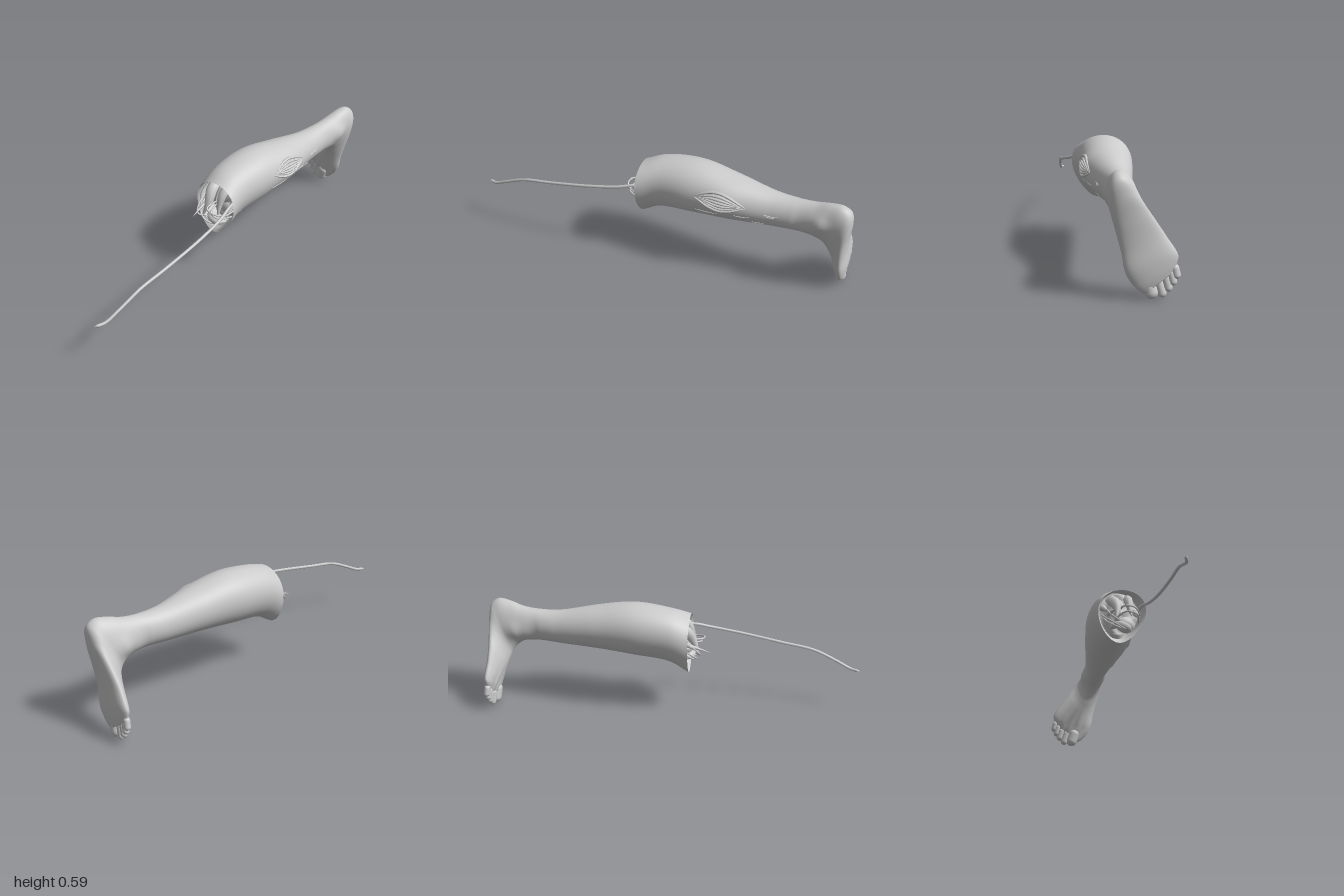
import * as THREE from 'three';

const V = (x, y, z) => new THREE.Vector3(x, y, z);
const mat = new THREE.MeshStandardMaterial({ color: 0xcccccc, roughness: 0.8, side: THREE.DoubleSide });

// Cross-sections from the cut knee to the toes:
// calf/heel/sole point, shin/instep point, [half width, roll, egg shape]
const sections = [
  [[0.055, 0.535, 0.1], [0.022, 0.228, 0.1], [0.124, 0, 0.22]],
  [[0.03, 0.57, 0], [0.026, 0.283, 0], [0.123, 0, 0.15]],
  [[0.03, 0.593, -0.2], [0.034, 0.31, -0.2], [0.133, 0, 0.08]],
  [[0.04, 0.562, -0.4], [0.044, 0.328, -0.4], [0.116, 0, 0.05]],
  [[0.042, 0.523, -0.6], [0.044, 0.34, -0.6], [0.08, 0, 0]],
  [[0.047, 0.519, -0.71], [0.048, 0.346, -0.7], [0.069, 0, 0]],
  [[0.055, 0.53, -0.81], [0.046, 0.345, -0.77], [0.066, 0, -0.1]],
  [[0.07, 0.55, -0.88], [0.04, 0.335, -0.81], [0.066, -0.08, -0.1]],
  [[0.082, 0.557, -0.945], [0.03, 0.315, -0.84], [0.066, -0.18, 0]],
  [[0.083, 0.53, -0.985], [0.018, 0.285, -0.865], [0.068, -0.28, 0.1]],
  [[0.06, 0.46, -0.995], [0, 0.25, -0.88], [0.075, -0.33, 0.15]],
  [[0.022, 0.37, -0.988], [-0.025, 0.21, -0.895], [0.088, -0.36, 0.18]],
  [[-0.022, 0.265, -0.984], [-0.05, 0.165, -0.912], [0.102, -0.38, 0.2]],
  [[-0.06, 0.165, -0.992], [-0.07, 0.125, -0.927], [0.112, -0.42, 0.15]],
  [[-0.079, 0.105, -0.99], [-0.085, 0.095, -0.938], [0.1, -0.55, 0.1]],
  [[-0.09, 0.075, -0.984], [-0.093, 0.072, -0.948], [0.082, -0.62, 0]]
];
const last = sections.length - 1;
const [back, front, shape] = [0, 1, 2].map(k => new THREE.CatmullRomCurve3(sections.map(s => V(...s[k]))));

// Ankle bones, calf swelling, kneecap edge, ball of the foot: x, y, z, radius, height
const bumps = [
  [0.12, 0.45, -0.84, 0.045, 0.014], [-0.025, 0.41, -0.85, 0.045, 0.014],
  [0.16, 0.47, -0.36, 0.07, 0.01], [0.04, 0.23, 0.06, 0.06, 0.006],
  [0.03, 0.14, -0.96, 0.05, 0.008], [-0.17, 0.2, -0.97, 0.05, 0.006]
];

const centre = i => back.getPoint(i / last).add(front.getPoint(i / last)).multiplyScalar(0.5);

// Point on the skin: i = section index, t = angle (0 calf side, PI/2 the left side)
function skin(i, t) {
  const a = back.getPoint(i / last), b = front.getPoint(i / last), s = shape.getPoint(i / last);
  const c = a.clone().add(b).multiplyScalar(0.5);
  const side = V(Math.cos(s.y), Math.sin(s.y), 0).multiplyScalar(s.x * Math.sin(t) * (1 + s.z * Math.cos(t)));
  const p = c.clone().addScaledVector(a.sub(b), Math.cos(t) / 2).add(side);
  const out = p.clone().sub(c).normalize();
  let lift = 0;
  for (const [x, y, z, r, h] of bumps) lift += h * Math.exp(-p.distanceToSquared(V(x, y, z)) / (r * r));
  // tendon ridges over the instep
  const foot = THREE.MathUtils.smoothstep(i, 10.5, 13.5) * Math.max(0, -Math.cos(t));
  lift += 0.005 * foot * Math.cos(Math.sin(t) * 14);
  return p.addScaledVector(out, lift);
}

// Closed-ring surface from a rule f(s, t), s from 0 to 1
function loft(f, rows, cols, capEnd) {
  const pos = [], index = [];
  for (let r = 0; r <= rows; r++)
    for (let c = 0; c < cols; c++) pos.push(...f(r / rows, c / cols * Math.PI * 2).toArray());
  for (let r = 0; r < rows; r++)
    for (let c = 0; c < cols; c++) {
      const d = (c + 1) % cols, a = r * cols, b = a + cols;
      index.push(a + c, a + d, b + c, a + d, b + d, b + c);
    }
  if (capEnd) {
    const n = pos.length / 3, a = rows * cols;
    pos.push(...capEnd.toArray());
    for (let c = 0; c < cols; c++) index.push(a + c, a + (c + 1) % cols, n);
  }
  const g = new THREE.BufferGeometry();
  g.setAttribute('position', new THREE.Float32BufferAttribute(pos, 3));
  g.setIndex(index);
  g.computeVertexNormals();
  return g;
}

// Tube whose radius follows profile(s)
function strandGeometry(points, radius, profile = () => 1, n = 28, sides = 8) {
  const curve = new THREE.CatmullRomCurve3(points);
  const g = new THREE.TubeGeometry(curve, n, radius, sides), p = g.attributes.position, v = V(0, 0, 0);
  for (let i = 0; i < p.count; i++) {
    const s = Math.floor(i / (sides + 1)) / n, c = curve.getPointAt(s);
    v.fromBufferAttribute(p, i).sub(c).multiplyScalar(profile(s)).add(c);
    p.setXYZ(i, v.x, v.y, v.z);
  }
  g.computeVertexNormals();
  return g;
}
const spindle = s => Math.sqrt(Math.max(0, Math.sin(Math.PI * s)));
const taper = s => Math.pow(1 - s, 0.6) * (0.7 + 0.3 * Math.sin(Math.PI * s));
const rounded = s => Math.min(1, Math.sqrt(Math.max(0, (1 - s) * 60)), Math.sqrt(s * 60));

export function createModel() {
  const model = new THREE.Group();
  const add = (name, geometry) => {
    const m = new THREE.Mesh(geometry, mat);
    m.name = name;
    model.add(m);
    return m;
  };
  const strand = (name, pts, r, profile, n) => add(name, strandGeometry(pts.map(p => V(...p)), r, profile, n));

  // Leg and foot skin
  add('legSkin', loft((s, t) => skin(s * last, t), 120, 56, centre(last)));

  // Recessed inner wall and lumpy stump floor
  add('stumpInterior', loft((s, t) => {
    const wall = Math.min(1, s / 0.6), i = wall * 0.85;
    const k = s <= 0.6 ? 1 - 0.07 * Math.min(1, s * 12) : 0.93 * (1 - (s - 0.6) / 0.4);
    const p = skin(i, t).lerp(centre(i), 1 - k);
    p.z += s > 0.6 ? 0.05 * (1 - k) + 0.012 * k * Math.sin(4 * t + 9 * k) : 0;
    return p;
  }, 30, 48));

  // Toes: x, y, z, radius, length
  [
    [-0.054, 0.052, -0.957, 0.031, 0.045], [-0.1, 0.05, -0.962, 0.02, 0.05],
    [-0.128, 0.07, -0.964, 0.019, 0.042], [-0.149, 0.094, -0.966, 0.018, 0.036],
    [-0.165, 0.12, -0.968, 0.018, 0.03]
  ].forEach(([x, y, z, r, len], k) => {
    const toe = add('toe' + (k + 1), new THREE.CapsuleGeometry(r, len, 8, 18));
    toe.position.set(x, y, z);
    toe.rotation.set(0.12, 0, -0.3 + 0.02 * k);
    toe.scale.z = 0.9;
  });

  // Torn muscles hanging in the opening
  [
    [[[-0.01, 0.5, 0.02], [0.0, 0.47, 0.08], [0.012, 0.41, 0.12], [0, 0.345, 0.15]], 0.04],
    [[[0.085, 0.525, 0.02], [0.08, 0.48, 0.08], [0.08, 0.42, 0.11], [0.088, 0.365, 0.13]], 0.032],
    [[[0.04, 0.51, 0], [0.04, 0.46, 0.06], [0.045, 0.43, 0.1]], 0.03],
    [[[0.13, 0.46, 0], [0.125, 0.42, 0.06], [0.13, 0.37, 0.11]], 0.025],
    [[[-0.055, 0.46, 0.02], [-0.055, 0.42, 0.09], [-0.035, 0.38, 0.13]], 0.025],
    [[[-0.02, 0.42, 0.02], [-0.02, 0.39, 0.12], [-0.012, 0.36, 0.21]], 0.014]
  ].forEach(([pts, r]) => strand('tornMuscle', pts, r, taper));
  strand('lowerMuscle', [[-0.02, 0.315, 0.07], [0.02, 0.325, 0.11], [0.06, 0.315, 0.11], [0.095, 0.31, 0.07]], 0.02, spindle);

  // Broken bone end
  const bone = add('boneEnd', new THREE.SphereGeometry(0.06, 28, 18));
  bone.position.set(0.065, 0.37, 0.005);
  bone.scale.set(1.1, 0.85, 0.9);

  // Loose vessels
  [
    [[0.03, 0.41, 0.03], [0.04, 0.41, 0.16], [0.09, 0.405, 0.17], [0.13, 0.39, 0.12], [0.14, 0.4, 0.04]],
    [[0.02, 0.4, 0.03], [0.06, 0.385, 0.15], [0.11, 0.375, 0.15], [0.135, 0.36, 0.07]],
    [[-0.06, 0.41, 0.04], [-0.045, 0.35, 0.12], [0, 0.315, 0.14], [0.05, 0.3, 0.12], [0.1, 0.32, 0.06]],
    [[-0.05, 0.39, 0.04], [-0.03, 0.33, 0.11], [0.02, 0.305, 0.12], [0.085, 0.3, 0.09]],
    [[-0.03, 0.45, 0.03], [-0.045, 0.4, 0.12], [-0.025, 0.35, 0.16], [0.02, 0.34, 0.13]]
  ].forEach(pts => strand('looseVessel', pts, 0.0045, rounded));

  // Long trailing cord
  strand('trailingCord', [
    [0.13, 0.44, 0.03], [0.147, 0.447, 0.1], [0.168, 0.425, 0.2], [0.18, 0.395, 0.36], [0.178, 0.355, 0.58],
    [0.172, 0.325, 0.75], [0.163, 0.275, 0.87], [0.15, 0.239, 0.95], [0.132, 0.235, 0.998]
  ], 0.008, rounded, 120);

  // Open gash on the calf: two lips and muscle fibres between them
  const onSkin = (z0, z1, t0, bow) => [0, 1, 2, 3, 4, 5, 6].map(k => {
    const s = k / 6, z = z0 + (z1 - z0) * s;
    return skin(1 - 5 * z, t0 + bow * Math.sin(Math.PI * s));
  });
  const mark = (name, z0, z1, t0, bow, r) => add(name, strandGeometry(onSkin(z0, z1, t0, bow), r, spindle));
  mark('gashLip', -0.22, -0.48, 1.36, -0.38, 0.008);
  mark('gashLip', -0.22, -0.48, 1.36, 0.36, 0.008);
  for (let k = -2; k <= 2; k++) mark('gashFibre', -0.24, -0.46, 1.36, k * 0.12, 0.006);

  // Small cuts: z start, z end, angle
  [
    [-0.56, -0.67, 1.5], [-0.57, -0.65, 1.58], [-0.22, -0.34, 1.98], [-0.42, -0.5, 1.85], [-0.5, -0.58, 2.2]
  ].forEach(([z0, z1, t]) => mark('smallCut', z0, z1, t, 0.05, 0.003));

  return model;
}
